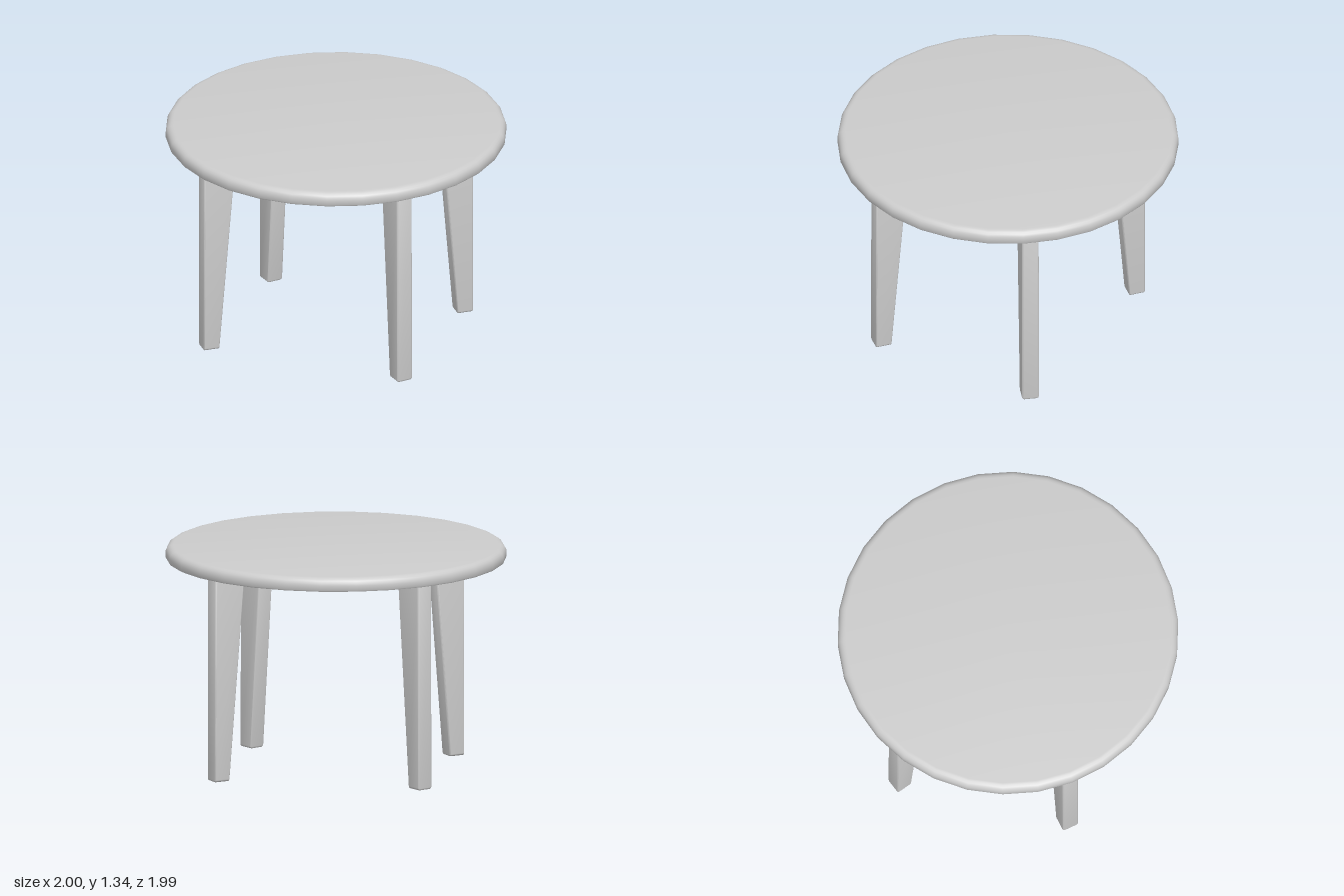
import * as THREE from 'three';
import { RoundedBoxGeometry } from 'three/addons/geometries/RoundedBoxGeometry.js';
import { toCreasedNormals } from 'three/addons/utils/BufferGeometryUtils.js';

const material = new THREE.MeshStandardMaterial({ color: 0xcccccc });

// Round top: flat underside with a shallow recess, rounded upper rim
function makeTop() {
  const bottom = 1.255, top = 1.335, r = 0.045;
  const profile = [[0, 1.295], [0.62, 1.295], [0.62, bottom], [0.995, bottom], [1, bottom + 0.008]]
    .map(([x, y]) => new THREE.Vector2(x, y));
  for (let i = 0; i <= 5; i++) {
    const a = (i / 5) * Math.PI / 2;
    profile.push(new THREE.Vector2(1 - r + r * Math.cos(a), top - r + r * Math.sin(a)));
  }
  profile.push(new THREE.Vector2(0, top));
  const geometry = new THREE.LatheGeometry(profile, 30, Math.PI / 2);
  const mesh = new THREE.Mesh(toCreasedNormals(geometry, 0.7), material);
  mesh.name = 'tableTop';
  return mesh;
}

// Leg with a vertical outer face at x = 0.835 and a slanted inner face
function makeLegGeometry() {
  const height = 1.27, depthTop = 0.205, depthBottom = 0.098, width = 0.1;
  const geometry = new RoundedBoxGeometry(depthTop, height, width, 3, 0.015);
  geometry.translate(-depthTop / 2, height / 2, 0);
  const p = geometry.attributes.position;
  for (let i = 0; i < p.count; i++) {
    const depth = THREE.MathUtils.lerp(depthBottom, depthTop, p.getY(i) / height);
    p.setX(i, 0.835 + p.getX(i) * depth / depthTop);
  }
  return toCreasedNormals(geometry, 0.7);
}

export function createModel() {
  const model = new THREE.Group();
  model.name = 'roundTable';
  model.add(makeTop());

  // Four legs pointing outwards from the centre
  const legGeometry = makeLegGeometry();
  const legs = { frontLeftLeg: -40, backLeftLeg: 40, backRightLeg: 140, frontRightLeg: 220 };
  for (const [name, degrees] of Object.entries(legs)) {
    const leg = new THREE.Mesh(legGeometry, material);
    leg.name = name;
    leg.rotation.y = THREE.MathUtils.degToRad(degrees);
    model.add(leg);
  }
  return model;
}
